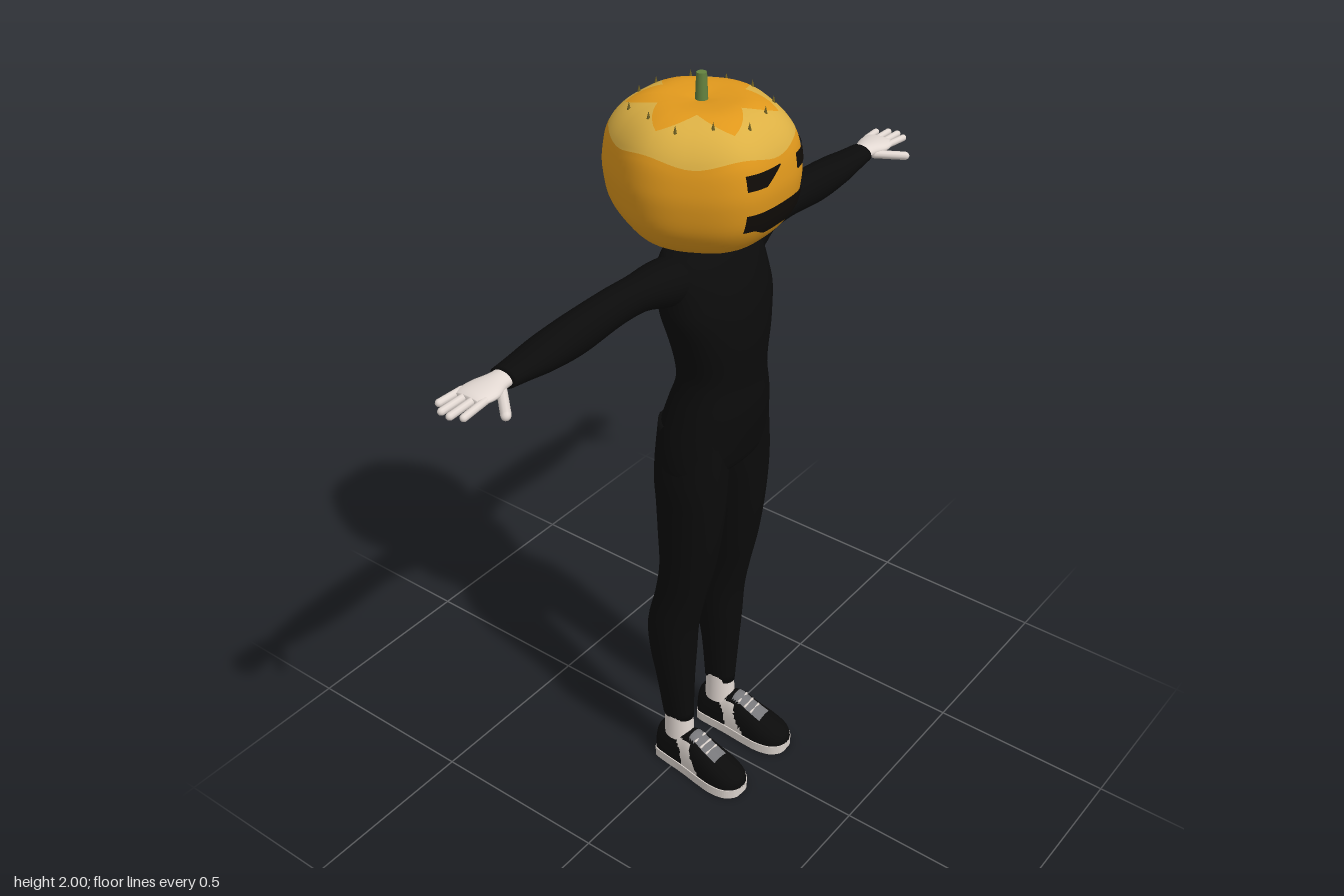
import * as THREE from 'three';

const mat = (name, color, side = THREE.FrontSide) => {
  const m = new THREE.MeshStandardMaterial({ color, side });
  m.name = name;
  return m;
};
const M = {
  suit: mat('black', 0x0b0b0b),
  skin: mat('pale skin', 0xe2d8d2),
  orange: mat('pumpkin orange', 0xe0981c, THREE.DoubleSide),
  yellow: mat('pumpkin yellow', 0xdcb044, THREE.DoubleSide),
  face: mat('carved dark', 0x100c08, THREE.DoubleSide),
  stem: mat('stem green', 0x64823f),
  spike: mat('spike olive', 0x6e5f22),
  white: mat('shoe white', 0xd8d0ca),
  grey: mat('tongue grey', 0x77777a),
};

// Catmull-Rom value of every column of a table at fractional row t
function rowAt(rows, t) {
  const n = rows.length - 1, i = Math.min(Math.floor(t), n - 1), f = t - i;
  const [a, b, c, d] = [rows[Math.max(i - 1, 0)], rows[i], rows[i + 1], rows[Math.min(i + 2, n)]];
  return b.map((_, k) => b[k] + 0.5 * f * (c[k] - a[k]
    + f * (2 * a[k] - 5 * b[k] + 4 * c[k] - d[k] + f * (3 * (b[k] - c[k]) + d[k] - a[k]))));
}
const refine = (rows, steps) => Array.from({ length: (rows.length - 1) * steps + 1 }, (_, i) => rowAt(rows, i / steps));

// Skin closed rings of points; pick(point) chooses a material index per face
function loft(rings, caps = true, pick = () => 0) {
  const n = rings[0].length, pts = rings.flat();
  const mid = (r) => r.reduce((s, p) => s.map((v, k) => v + p[k] / r.length), [0, 0, 0]);
  const centre = mid(pts), faces = [];
  for (let i = 0; i < rings.length - 1; i++) for (let j = 0; j < n; j++) {
    const a = i * n + j, b = i * n + (j + 1) % n, c = a + n, d = b + n;
    faces.push([a, b, c], [b, d, c]);
  }
  if (caps) [0, rings.length - 1].forEach((i) => {
    pts.push(mid(rings[i]));
    for (let j = 0; j < n; j++) {
      const e = [i * n + j, i * n + (j + 1) % n, pts.length - 1];
      faces.push(i ? e : [e[1], e[0], e[2]]);
    }
  });
  // Turn faces outward
  const V = (k) => new THREE.Vector3(...pts[k].map((v, q) => v - centre[q]));
  const vol = faces.reduce((s, [a, b, c]) => s + V(a).dot(V(b).cross(V(c))), 0);
  const groups = [];
  for (const f of faces) {
    const m = pick(mid(f.map((k) => pts[k])));
    (groups[m] ||= []).push(...(vol < 0 ? [f[0], f[2], f[1]] : f));
  }
  const g = new THREE.BufferGeometry();
  g.setAttribute('position', new THREE.Float32BufferAttribute(pts.flat(), 3));
  g.setIndex(groups.flat());
  let start = 0;
  groups.forEach((x, m) => { g.addGroup(start, x.length, m); start += x.length; });
  g.computeVertexNormals();
  return g;
}
// Rounded ring: f(cos, sin) gives the point
const ring = (n, f, pow = 1) => Array.from({ length: n }, (_, j) => {
  const a = j / n * Math.PI * 2, s = (v) => Math.sign(v) * Math.abs(v) ** pow;
  return f(s(Math.cos(a)), s(Math.sin(a)));
});
function add(parent, name, geo, material, x = 0, y = 0, z = 0) {
  const m = new THREE.Mesh(geo, material);
  m.name = name;
  m.position.set(x, y, z);
  parent.add(m);
  return m;
}
function mirrored(group, name) {
  const out = new THREE.Group();
  out.name = name;
  group.updateMatrixWorld(true);
  group.traverse((o) => {
    if (!o.isMesh) return;
    const g = o.geometry.index ? o.geometry.clone() : o.geometry.clone().setIndex([...Array(o.geometry.attributes.position.count).keys()]);
    g.applyMatrix4(o.matrixWorld).scale(-1, 1, 1);
    const ix = g.index.array;
    for (let i = 0; i < ix.length; i += 3) [ix[i], ix[i + 1]] = [ix[i + 1], ix[i]];
    add(out, o.name, g, o.material);
  });
  return out;
}
function rod(parent, name, a, b, r, material, flat = 1) {
  const A = new THREE.Vector3(...a), B = new THREE.Vector3(...b), d = B.clone().sub(A);
  const m = add(parent, name, new THREE.CapsuleGeometry(r, d.length(), 5, 10), material);
  m.position.copy(A).add(B).multiplyScalar(0.5);
  m.quaternion.setFromUnitVectors(new THREE.Vector3(0, 1, 0), d.normalize());
  m.scale.z = flat;
  return m;
}

// Pumpkin surface: profile position t (0 bottom, 9 top) and angle
const PROFILE = [[0.128, 1.622], [0.168, 1.65], [0.2, 1.7], [0.212, 1.76], [0.212, 1.81], [0.199, 1.87],
  [0.163, 1.917], [0.11, 1.943], [0.05, 1.943], [0, 1.935]];
const lobe = (a) => 1 + 0.022 * Math.cos(6 * a);
function pumpkin(t, a) {
  const [r, y] = rowAt(PROFILE, t);
  return [r * lobe(a) * Math.cos(a), y, r * lobe(a) * 1.06 * Math.sin(a)];
}
function band(t0, t1, steps) {
  return loft(Array.from({ length: steps + 1 }, (_, i) => Array.from({ length: 72 }, (_, j) => {
    const a = j / 72 * Math.PI * 2;
    return pumpkin(t0(a) + (t1(a) - t0(a)) * i / steps, a);
  })), false);
}
// Dark plate following the front of the pumpkin between two heights
function carving(parent, name, x0, x1, top, bottom) {
  const g = new THREE.PlaneGeometry(1, 1, 24, 8), p = g.attributes.position;
  for (let i = 0; i < p.count; i++) {
    const x = x0 + (p.getX(i) + 0.5) * (x1 - x0);
    const y = bottom(x) + (p.getY(i) + 0.5) * (top - bottom(x));
    let lo = 0, hi = 6, a = Math.PI / 2;
    for (let k = 0; k < 30; k++) { const m = (lo + hi) / 2; if (rowAt(PROFILE, m)[1] < y) lo = m; else hi = m; }
    for (let k = 0; k < 10; k++) a = Math.acos(x / (rowAt(PROFILE, lo)[0] * lobe(a)));
    p.setXYZ(i, x, y, pumpkin(lo, a)[2] + 0.004);
  }
  g.computeVertexNormals();
  add(parent, name, g, M.face);
}

function buildHead() {
  const head = new THREE.Group();
  head.name = 'pumpkinHead';
  const lower = (a) => 4.95 + 0.15 * Math.cos(6 * a);
  const star = (a) => 6.05 + 1.05 * Math.acos(Math.cos(6 * a)) / Math.PI;
  add(head, 'pumpkinShell', band(() => 0, lower, 24), M.orange);
  add(head, 'pumpkinBand', band(lower, star, 12), M.yellow);
  add(head, 'pumpkinStar', band(star, () => 9, 12), M.orange);
  add(head, 'stem', new THREE.CylinderGeometry(0.012, 0.015, 0.07, 10), M.stem, 0, 1.965, 0);
  for (let i = 0; i < 12; i++) {
    const a = (i + 0.5) / 12 * Math.PI * 2, [x, y, z] = pumpkin(i % 2 ? 6.15 : 6.4, a);
    add(head, 'spike', new THREE.ConeGeometry(0.005, 0.02, 5), M.spike, x, y + 0.006, z);
  }
  const eye = (x0, x1) => (x) => 1.81 + 0.033 * Math.max(0, (2 * x - x0 - x1) / (x1 - x0));
  carving(head, 'rightEye', -0.106, -0.005, 1.846, eye(-0.106, -0.005));
  carving(head, 'leftEye', 0.058, 0.143, 1.846, eye(0.058, 0.143));
  carving(head, 'mouth', -0.106, 0.106, 1.752, (x) => 1.708 - 0.018 * Math.min(1, Math.max(0, (0.08 - Math.abs(x)) * 30)));
  // Wearer's head and neck within the shell
  add(head, 'neck', new THREE.CylinderGeometry(0.048, 0.05, 0.1, 20), M.skin, 0, 1.66, 0);
  add(head, 'innerHead', new THREE.SphereGeometry(0.09, 24, 16), M.skin, 0, 1.745, 0.01).scale.set(0.9, 1.2, 1.1);
  return head;
}

function buildArm() {
  const arm = new THREE.Group();
  // x, centre y, half height, centre z, half depth
  const section = ([x, y, h, z, d]) => ring(24, (c, s) => [x, y + h * s, z + d * c]);
  add(arm, 'sleeve', loft(refine([[0.06, 1.54, 0.055, 0.02, 0.07], [0.16, 1.546, 0.056, 0.008, 0.062],
    [0.24, 1.556, 0.044, 0.002, 0.048], [0.33, 1.559, 0.044, 0, 0.045], [0.46, 1.553, 0.048, 0, 0.047],
    [0.56, 1.552, 0.039, -0.001, 0.047], [0.63, 1.553, 0.029, -0.001, 0.04], [0.685, 1.555, 0.023, 0, 0.034]], 5).map(section)), M.suit);
  add(arm, 'palm', loft(refine([[0.66, 1.555, 0.018, 0, 0.028], [0.7, 1.556, 0.018, 0.001, 0.029],
    [0.74, 1.557, 0.017, 0.003, 0.042], [0.775, 1.557, 0.013, 0, 0.042], [0.79, 1.556, 0.008, 0, 0.036]], 4).map(section)), M.skin);
  [[-0.034, 0.828, -0.042], [-0.012, 0.848, -0.016], [0.011, 0.851, 0.01], [0.033, 0.838, 0.036]].forEach(([z, x, ze]) =>
    rod(arm, 'finger', [0.77, 1.557, z], [x, 1.552, ze], 0.0088, M.skin));
  rod(arm, 'thumb', [0.715, 1.548, 0.026], [0.768, 1.54, 0.085], 0.012, M.skin, 0.9);
  return arm;
}

function buildShoe() {
  const shoe = new THREE.Group();
  // z, half width, height
  const rows = refine([[-0.07, 0.02, 0.085], [-0.058, 0.036, 0.112], [-0.02, 0.041, 0.116], [0.02, 0.043, 0.12], [0.055, 0.046, 0.127],
    [0.1, 0.051, 0.105], [0.15, 0.054, 0.084], [0.19, 0.046, 0.068], [0.212, 0.028, 0.054], [0.219, 0.012, 0.044]], 6);
  const pick = ([x, y, z]) => {
    if (z > 0.05 && z < 0.14 && Math.abs(x) < 0.024 && y > 0.06) return 2;
    const mid = 0.05 + (y - 0.07) * -0.5;
    return y < 0.108 && Math.abs(x) > 0.02 && Math.abs(z - mid) < 0.02 + 0.25 * Math.abs(y - 0.075) ? 1 : 0;
  };
  add(shoe, 'shoeUpper', loft(rows.map(([z, w, h]) => ring(48, (c, s) => [w * c, 0.024 + (s > 0 ? (h - 0.024) * s : 0), z], 0.8)), true, pick),
    [M.suit, M.white, M.grey]);
  const edge = rows.map(([z, w]) => new THREE.Vector2(w + 0.003, -z));
  const outline = new THREE.Shape([...edge, ...edge.map((p) => new THREE.Vector2(-p.x, p.y)).reverse()]);
  add(shoe, 'sole', new THREE.ExtrudeGeometry(outline, { depth: 0.028, bevelEnabled: false }), M.white).rotation.x = -Math.PI / 2;
  for (const [z, y] of [[0.07, 0.122], [0.09, 0.112], [0.11, 0.102]])
    rod(shoe, 'lace', [-0.02, y - 0.005, z], [0.02, y - 0.005, z], 0.0035, M.white);
  add(shoe, 'ankle', new THREE.CylinderGeometry(0.034, 0.037, 0.09, 20), M.skin, -0.002, 0.14, -0.006).scale.z = 1.2;
  shoe.position.x = 0.097;
  shoe.rotation.y = 0.05;
  return shoe;
}

function buildLeg() {
  const leg = new THREE.Group();
  // y, outer x, inner x, front z, back z
  const rows = [[1.14, 0.15, 0.02, 0.13, -0.055], [1.0, 0.17, 0.006, 0.131, -0.063], [0.9, 0.167, 0.013, 0.127, -0.058],
    [0.8, 0.164, 0.02, 0.116, -0.053], [0.7, 0.161, 0.028, 0.099, -0.049], [0.6, 0.161, 0.036, 0.075, -0.062], [0.5, 0.167, 0.038, 0.054, -0.084],
    [0.4, 0.161, 0.045, 0.048, -0.08], [0.3, 0.149, 0.054, 0.042, -0.064], [0.165, 0.128, 0.063, 0.038, -0.053]];
  add(leg, 'trouserLeg', loft(refine(rows, 4).map(([y, o, i, f, b]) =>
    ring(28, (c, s) => [(o + i) / 2 + (o - i) / 2 * c, y, (f + b) / 2 + (f - b) / 2 * s], 0.95))), M.suit);
  leg.add(buildShoe());
  return leg;
}

export function createModel() {
  const model = new THREE.Group();
  model.name = 'pumpkinHeadFigure';
  // Torso: y, half width, front z, back z
  const torso = [[1.64, 0.055, 0.045, -0.048], [1.615, 0.085, 0.055, -0.052], [1.597, 0.135, 0.078, -0.057], [1.56, 0.163, 0.108, -0.063],
    [1.5, 0.168, 0.135, -0.064], [1.45, 0.166, 0.148, -0.058], [1.38, 0.146, 0.157, -0.047], [1.3, 0.127, 0.156, -0.035],
    [1.25, 0.13, 0.154, -0.033], [1.18, 0.147, 0.157, -0.056], [1.1, 0.164, 0.148, -0.074], [1.03, 0.168, 0.134, -0.066], [1.005, 0.155, 0.11, -0.05]];
  add(model, 'torso', loft(refine(torso, 4).map(([y, w, f, b]) =>
    ring(36, (c, s) => [w * c, y, (f + b) / 2 + (f - b) / 2 * s], 0.9))), M.suit);
  model.add(buildHead());
  for (const [part, build] of [['Arm', buildArm], ['Leg', buildLeg]]) {
    const left = build();
    left.name = 'left' + part;
    model.add(left, mirrored(left, 'right' + part));
  }
  return model;
}
